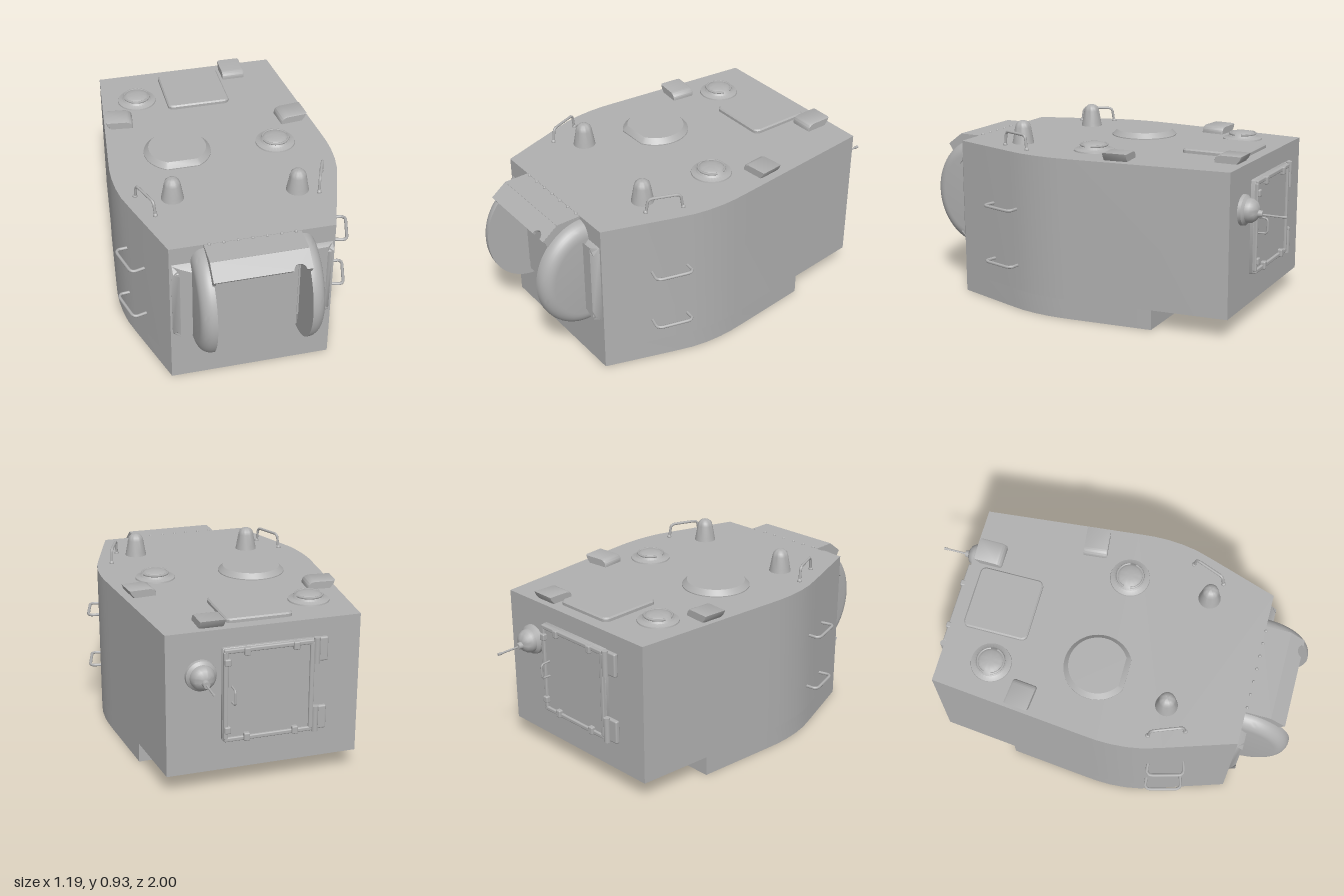
import * as THREE from 'three';
import { toCreasedNormals } from 'three/addons/utils/BufferGeometryUtils.js';
import { RoundedBoxGeometry } from 'three/addons/geometries/RoundedBoxGeometry.js';

export function createModel() {
  const model = new THREE.Group();
  const steel = new THREE.MeshStandardMaterial({ color: 0xb0b0b0 });
  steel.name = 'grey steel';
  const ROOF = 0.81, REAR = -0.78, FRONT = 0.745;

  const add = (name, geometry, x = 0, y = 0, z = 0, parent = model) => {
    const mesh = new THREE.Mesh(geometry, steel);
    mesh.name = name;
    mesh.position.set(x, y, z);
    parent.add(mesh);
    return mesh;
  };
  const poly = (pts) => new THREE.Shape(pts.map(([x, y]) => new THREE.Vector2(x, y)));
  const extrude = (shape, depth, options = {}) =>
    toCreasedNormals(new THREE.ExtrudeGeometry(shape, { depth, bevelEnabled: false, curveSegments: 24, ...options }), 0.6);
  // Plate with chamfered edges, centred on its thickness
  const plate = (shape, depth, chamfer, inset = chamfer) =>
    extrude(shape, depth, { bevelEnabled: true, bevelThickness: chamfer, bevelSize: inset, bevelOffset: -inset, bevelSegments: 1 })
      .translate(0, 0, -depth / 2);
  const roundRect = (w, h, r) => {
    const s = new THREE.Shape(), a = w / 2 - r, b = h / 2 - r;
    s.absarc(a, b, r, 0, Math.PI / 2);
    s.absarc(-a, b, r, Math.PI / 2, Math.PI);
    s.absarc(-a, -b, r, Math.PI, Math.PI * 1.5);
    s.absarc(a, -b, r, Math.PI * 1.5, Math.PI * 2);
    return s;
  };
  const lathe = (pts, segments = 32, start = 0, length = Math.PI * 2) =>
    toCreasedNormals(new THREE.LatheGeometry(pts.map(([r, y]) => new THREE.Vector2(r, y)), segments, start, length), 0.7);
  const rod = (pts, radius) => new THREE.TubeGeometry(
    new THREE.CatmullRomCurve3(pts.map((p) => new THREE.Vector3(...p)), false, 'catmullrom', 0.12), 32, radius, 8);

  // Turret shell: one plan outline, with a raised floor at the rear
  const flank = [[0.4, 0.745], [0.515, 0.4], [0.543, 0.31], [0.557, 0.23], [0.563, 0.15], [0.562, 0.08], [0.555, 0]];
  const outline = (rear) => {
    const half = [...flank, rear];
    return poly([...half, ...half.map(([x, z]) => [-x, z]).reverse()].map(([x, z]) => [x, -z]));
  };
  add('turretBody', extrude(outline([0.477, REAR]), ROOF - 0.1).rotateX(-Math.PI / 2), 0, 0.1, 0);
  add('turretBase', extrude(outline([0.515, -0.4]), 0.1).rotateX(-Math.PI / 2));

  // Sloped bulge under the rear overhang
  const bulge = extrude(poly([[0.39, 0.11], [0.39, 0.045], [0.57, 0.045], [0.605, 0.055], [0.66, 0.1], [0.66, 0.11]]), 0.44);
  bulge.translate(0, 0, -0.22).rotateY(Math.PI / 2);
  const bp = bulge.attributes.position;
  for (let i = 0; i < bp.count; i++) if (bp.getY(i) < 0.08) bp.setX(i, bp.getX(i) * 0.9);
  bulge.computeVertexNormals();
  add('rearBulge', bulge);

  // Bevelled gun frame and the flat panel between the cheeks
  add('gunFrame', plate(roundRect(0.78, 0.43, 0.003), 0.002, 0.032, 0.034), 0, 0.5, FRONT);
  add('gunPanel', plate(poly([[-0.24, -0.25], [0.24, -0.25], [0.24, 0.28], [-0.24, 0.28]]), 0.01, 0.03, 0.025), 0, 0.48, FRONT + 0.002);

  // Half-round mantlet cheeks with rounded outer rims
  const cheek = [[0, 0.226], [0.288, 0.226], [0.288, 0.235]];
  for (let i = 1; i <= 8; i++) {
    const a = (i / 8) * Math.PI / 2;
    cheek.push([0.218 + 0.07 * Math.cos(a), 0.235 + 0.063 * Math.sin(a)]);
  }
  cheek.push([0, 0.298]);
  for (const s of [-1, 1]) {
    const m = add(s > 0 ? 'leftCheek' : 'rightCheek', lathe(cheek, 40, -Math.PI / 2, Math.PI), 0, 0.503, FRONT);
    m.rotation.z = -s * Math.PI / 2;
    m.scale.x = 1;
    m.scale.z = 0.885;
  }

  // Hood over the mantlet: flat part, notched sloping lip, end tabs and bolts
  add('hoodTop', new THREE.BoxGeometry(0.465, 0.02, 0.15), -0.002, 0.798, 0.797);
  const lip = new THREE.Shape();
  lip.moveTo(-0.235, 0);
  lip.lineTo(0.23, 0);
  lip.lineTo(0.23, 0.1);
  lip.lineTo(0.2, 0.1);
  lip.absarc(0.17, 0.1, 0.03, 0, Math.PI, true);
  lip.lineTo(-0.235, 0.1);
  add('hoodLip', extrude(lip, 0.016), 0, 0.808, 0.87).rotation.x = Math.PI - Math.asin(0.8);
  const tab = extrude(poly([[-0.74, 0.8], [-0.74, 0.74], [-0.925, 0.71], [-0.948, 0.748], [-0.87, 0.806]].reverse()), 0.014)
    .translate(0, 0, -0.007).rotateY(Math.PI / 2);
  for (const x of [-0.228, 0.224]) add('hoodTab', tab, x, 0, 0);
  for (let i = 0; i < 7; i++) add('hoodBolt', new THREE.SphereGeometry(0.008, 10, 6), -0.21 + i * 0.069, ROOF, FRONT + 0.003);

  // Domed roof posts
  const post = lathe([[0.056, 0], [0.052, 0.02], [0.041, 0.082], [0.036, 0.1], [0.024, 0.112], [0.012, 0.117], [0, 0.118]], 28);
  for (const [x, z] of [[-0.302, 0.365], [0.302, 0.435]]) add('roofPost', post, x, ROOF - 0.001, z);

  // Round hatch with a flat front edge, and the square roof hatch
  const chord = new THREE.Shape();
  chord.absarc(0, 0, 0.17, -Math.PI / 2 + 0.49, Math.PI * 1.5 - 0.49);
  add('roundHatch', plate(chord, 0.01, 0.025, 0.024).rotateX(-Math.PI / 2), -0.2, ROOF, -0.01);
  add('squareHatch', plate(roundRect(0.33, 0.33, 0.03), 0.028, 0.007).rotateX(-Math.PI / 2), 0, ROOF, -0.555);

  // Mushroom vents with raised arcs
  const vent = lathe([[0.102, 0], [0.1, 0.008], [0.076, 0.015], [0.066, 0.03], [0.05, 0.038], [0.025, 0.042], [0, 0.043]], 36);
  for (const [x, z] of [[-0.315, -0.525], [0.305, 0.02]]) {
    const g = new THREE.Group();
    g.name = 'roofVent';
    g.position.set(x, ROOF - 0.001, z);
    model.add(g);
    add('ventDome', vent, 0, 0, 0, g);
    for (const a of [0.25, Math.PI + 0.25])
      add('ventArc', new THREE.TorusGeometry(0.066, 0.006, 6, 20, Math.PI - 0.5).rotateX(-Math.PI / 2).rotateY(a), 0, 0.03, 0, g);
  }

  // Periscope covers: rounded at the back, overhanging at the outer edge
  const cover = new THREE.Shape();
  cover.moveTo(-0.07, -0.005);
  cover.lineTo(-0.07, 0.012);
  cover.quadraticCurveTo(-0.066, 0.036, -0.035, 0.04);
  cover.lineTo(0.072, 0.04);
  cover.lineTo(0.064, 0.018);
  cover.lineTo(0.045, -0.005);
  const coverGeometry = plate(cover, 0.104, 0.008, 0.004);
  for (const [x, z, turn] of [[-0.443, -0.335, Math.PI - 0.1], [0.443, -0.19, 0.1], [0.245, -0.695, Math.PI / 2]])
    add('periscopeCover', coverGeometry, x, ROOF, z).rotation.y = turn;

  // Grab handles on the roof and flanks
  for (const s of [-1, 1]) {
    const shift = s > 0 ? -0.012 : 0;
    const a = 0.475 + shift, b = 0.408 + shift;
    add('roofHandle', rod([[s * a, 0.8, 0.315], [s * (a - 0.004), 0.87, 0.325], [s * (a - 0.01), 0.883, 0.34],
      [s * (b + 0.01), 0.883, 0.46], [s * (b + 0.004), 0.87, 0.475], [s * b, 0.8, 0.485]], 0.007), 0, 0, 0);
    for (const [x, z] of [[a, 0.315], [b, 0.485]]) add('handleFoot', new THREE.SphereGeometry(0.012, 10, 8), s * x, ROOF + 0.003, z);
    for (const y of [0.23, 0.522])
      add('sideHandle', rod([[s * 0.53, y, 0.34], [s * 0.575, y, 0.345], [s * 0.587, y, 0.36], [s * 0.585, y, 0.38],
        [s * 0.55, y, 0.505], [s * 0.54, y, 0.52], [s * 0.525, y, 0.524], [s * 0.475, y, 0.51]], 0.008));
  }

  // Rear door with clips, handle and two hinges
  const door = new THREE.Group();
  door.name = 'rearDoor';
  door.position.set(-0.015, 0.487, REAR);
  model.add(door);
  add('doorPanel', plate(roundRect(0.45, 0.47, 0.012), 0.032, 0.008), 0, 0, 0, door);
  for (const s of [-1, 1]) {
    add('doorRail', new RoundedBoxGeometry(0.44, 0.022, 0.034, 2, 0.006), 0, s * 0.222, -0.018, door);
    add('doorRail', new RoundedBoxGeometry(0.022, 0.44, 0.034, 2, 0.006), s * 0.212, 0, -0.018, door);
    for (const t of [-0.13, 0.11]) add('doorClip', new RoundedBoxGeometry(0.03, 0.04, 0.03, 2, 0.006), t, s * 0.215, -0.03, door);
    add('doorClip', new RoundedBoxGeometry(0.03, 0.035, 0.03, 2, 0.006), 0.205, s * 0.17, -0.03, door);
    add('hingePlate', new RoundedBoxGeometry(0.08, 0.12, 0.024, 2, 0.008), -0.255, s * 0.175, -0.01, door);
    add('hingePin', new THREE.CylinderGeometry(0.016, 0.016, 0.13, 14), -0.235, s * 0.175, -0.026, door);
  }
  add('doorHandle', rod([[0.18, 0.045, -0.01], [0.18, 0.042, -0.065], [0.18, 0.03, -0.073], [0.18, -0.02, -0.073],
    [0.18, -0.032, -0.065], [0.18, -0.035, -0.01]], 0.005), 0, 0, 0, door);

  // Rear ball port with a thin barrel
  const port = lathe([[0.076, 0], [0.074, 0.016], [0.06, 0.028], [0.058, 0.048], [0.045, 0.068], [0.025, 0.079], [0, 0.083]], 32);
  add('rearPort', port.rotateX(-Math.PI / 2), 0.31, 0.598, REAR);
  add('portCollar', new THREE.CylinderGeometry(0.016, 0.02, 0.03, 14).rotateX(-Math.PI / 2), 0.31, 0.588, -0.866);
  add('portBarrel', new THREE.CylinderGeometry(0.005, 0.005, 0.15, 10).rotateX(Math.PI / 2), 0.31, 0.585, -0.925);
  add('barrelTip', new THREE.CylinderGeometry(0.007, 0.007, 0.02, 10).rotateX(Math.PI / 2), 0.31, 0.585, -0.99);

  return model;
}
